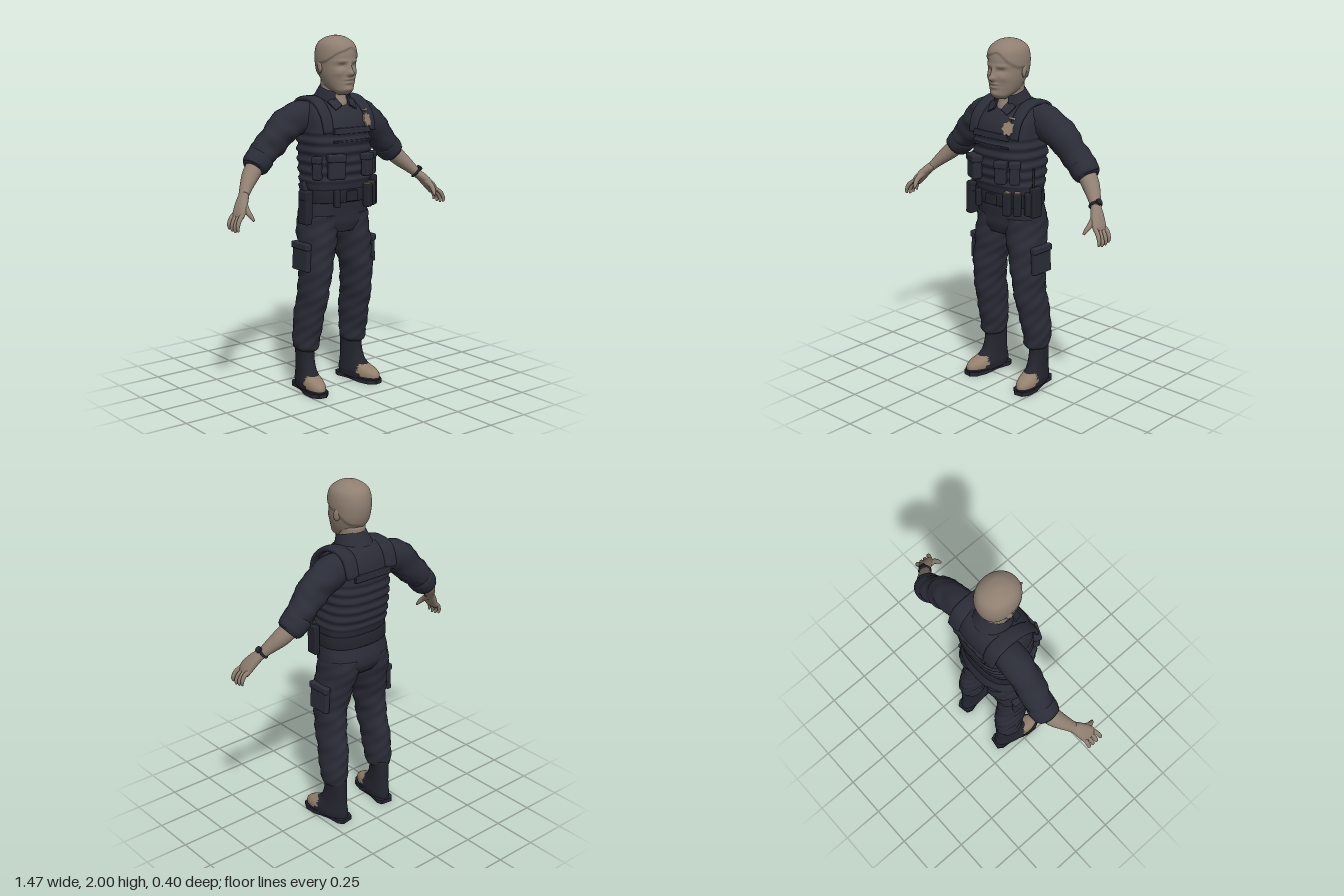
import * as THREE from 'three';
import { RoundedBoxGeometry } from 'three/addons/geometries/RoundedBoxGeometry.js';

const material = (name, color, side = THREE.FrontSide) => {
  const m = new THREE.MeshStandardMaterial({ color, side });
  m.name = name;
  return m;
};

// Catmull-Rom value between b and c
const spline = (a, b, c, d, t) =>
  0.5 * (2 * b + (c - a) * t + (2 * a - 5 * b + 4 * c - d) * t * t + (3 * b - a - 3 * c + d) * t * t * t);

// Skin through sections [x, y, z, halfWidth, halfDepth].
// level keeps rings horizontal, power squares them off, bump(p, angle) pushes outward,
// paint(centre) sends a triangle to the second material.
function loft(sections, { seg = 28, steps = 4, ref = [1, 0, 0], level = false, power = 2, bump, paint } = {}) {
  const rings = [];
  const at = i => sections[Math.min(Math.max(i, 0), sections.length - 1)];
  for (let i = 0; i < sections.length - 1; i++)
    for (let k = 0; k < steps; k++)
      rings.push(at(i).map((v, j) => spline(at(i - 1)[j], v, at(i + 1)[j], at(i + 2)[j], k / steps)));
  rings.push(at(sections.length));
  const centres = rings.map(r => new THREE.Vector3(r[0], r[1], r[2]));
  const pts = [], n = rings.length;
  rings.forEach((r, i) => {
    const T = level ? new THREE.Vector3(0, 1, 0)
      : centres[Math.min(i + 1, n - 1)].clone().sub(centres[Math.max(i - 1, 0)]).normalize();
    const A = new THREE.Vector3(...ref);
    A.addScaledVector(T, -A.dot(T)).normalize();
    const B = A.clone().cross(T);
    for (let j = 0; j < seg; j++) {
      const t = j / seg * Math.PI * 2;
      const c = Math.cos(t), s = Math.sin(t), e = 2 / power;
      const dir = new THREE.Vector3()
        .addScaledVector(A, r[3] * Math.sign(c) * Math.abs(c) ** e)
        .addScaledVector(B, r[4] * Math.sign(s) * Math.abs(s) ** e);
      const p = centres[i].clone().add(dir);
      if (bump) p.addScaledVector(dir.normalize(), bump(p, t));
      pts.push(p);
    }
  });
  pts.push(centres[0], centres[n - 1]);
  const lists = [[], []];
  const tri = (a, b, c) => {
    const mid = pts[a].clone().add(pts[b]).add(pts[c]).divideScalar(3);
    lists[paint && paint(mid) ? 1 : 0].push(a, b, c);
  };
  for (let j = 0; j < seg; j++) {
    const k = (j + 1) % seg, top = (n - 1) * seg;
    for (let i = 0; i < n - 1; i++) {
      const a = i * seg + j, b = i * seg + k;
      tri(a, a + seg, b);
      tri(b, a + seg, b + seg);
    }
    tri(n * seg, j, k);
    tri(n * seg + 1, top + k, top + j);
  }
  const g = new THREE.BufferGeometry().setFromPoints(pts);
  g.setIndex([...lists[0], ...lists[1]]);
  if (paint) {
    g.addGroup(0, lists[0].length, 0);
    g.addGroup(lists[0].length, lists[1].length, 1);
  }
  g.computeVertexNormals();
  return g;
}

// Horizontal section from height, centre x, half width, front z and back z
const slice = (y, x, a, front, back) => [x, y, (front + back) / 2, a, (front - back) / 2];
const gauss = (x, y, [cx, cy, amp, sx, sy]) =>
  amp * Math.exp(-(((x - cx) / sx) ** 2) - ((y - cy) / sy) ** 2);

export function createModel() {
  const model = new THREE.Group();
  model.name = 'uniformedOfficer';
  const skin = material('skin', 0x8f7f71);
  const cloth = material('navyCloth', 0x2a2c37);
  const collarCloth = material('collarCloth', 0x2a2c37, THREE.DoubleSide);
  const gear = material('darkGear', 0x23252e);
  const tan = material('tan', 0x94806c);

  const add = (name, geo, mat, pos = [0, 0, 0], rot = [0, 0, 0], parent = model) => {
    const m = new THREE.Mesh(geo, mat);
    m.name = name;
    m.position.set(...pos);
    m.rotation.set(...rot);
    parent.add(m);
    return m;
  };
  const box = (name, mat, pos, size, rot) =>
    add(name, new RoundedBoxGeometry(...size, 2, Math.min(...size) * 0.25), mat, pos, rot);
  const folds = (amp, f) => (p, t) => amp * Math.sin(p.y * f + 2 * t) * Math.sin(p.y * f * 0.37 + 3 * t + 1);

  // Head with face relief and short hair
  const features = [
    [0, 1.797, 0.034, 0.015, 0.016], [0, 1.825, 0.018, 0.011, 0.028],
    [-0.042, 1.838, -0.013, 0.022, 0.013], [0.042, 1.838, -0.013, 0.022, 0.013],
    [-0.04, 1.863, 0.006, 0.03, 0.009], [0.04, 1.863, 0.006, 0.03, 0.009],
    [0, 1.765, 0.01, 0.026, 0.007], [0, 1.748, 0.01, 0.022, 0.007], [0, 1.756, -0.006, 0.03, 0.004],
    [-0.055, 1.8, 0.005, 0.02, 0.02], [0.055, 1.8, 0.005, 0.02, 0.02], [0, 1.712, 0.007, 0.025, 0.014],
  ];
  const face = (p, t) => {
    const s = Math.sin(t);
    const hairline = 1.85 + (s > 0 ? 0.078 * s * s : 0.09 * s) + 0.006 * Math.sin(p.x * 60);
    let d = 0.008 * THREE.MathUtils.smoothstep(p.y, hairline - 0.004, hairline + 0.01)
      * (1 - THREE.MathUtils.smoothstep(p.y, 1.95, 1.995));
    if (s > 0) for (const f of features) d += gauss(p.x, p.y, f) * Math.min(1, s * 2);
    return d;
  };
  add('head', loft([
    slice(1.68, 0, 0.03, 0.085, 0.03), slice(1.7, 0, 0.055, 0.11, -0.01), slice(1.73, 0, 0.074, 0.115, -0.07),
    slice(1.77, 0, 0.088, 0.117, -0.098), slice(1.81, 0, 0.096, 0.119, -0.115), slice(1.86, 0, 0.1, 0.117, -0.124),
    slice(1.9, 0, 0.1, 0.115, -0.124), slice(1.94, 0, 0.093, 0.103, -0.115), slice(1.97, 0, 0.076, 0.08, -0.095),
    slice(1.99, 0, 0.05, 0.05, -0.062), slice(2, 0, 0.012, 0.01, -0.02),
  ], { seg: 88, steps: 7, level: true, power: 2.1, bump: face }), skin);
  add('neck', loft([
    slice(1.57, 0, 0.07, 0.065, -0.1), slice(1.63, 0, 0.068, 0.062, -0.1),
    slice(1.68, 0, 0.068, 0.045, -0.1), slice(1.76, 0, 0.07, 0.05, -0.1),
  ], { level: true }), skin);

  // Vest with rows of webbing
  const webbing = p => {
    const fade = THREE.MathUtils.smoothstep(p.y, 1.19, 1.22) * (1 - THREE.MathUtils.smoothstep(p.y, 1.46, 1.5));
    return 0.005 * fade * Math.tanh(3 * Math.sin((p.y - 1.2) * 115));
  };
  add('vest', loft([
    slice(1.13, 0, 0.188, 0.12, -0.145), slice(1.2, 0, 0.2, 0.132, -0.162), slice(1.3, 0, 0.2, 0.143, -0.184),
    slice(1.42, 0, 0.198, 0.147, -0.196), slice(1.52, 0, 0.192, 0.137, -0.198), slice(1.585, 0, 0.182, 0.1, -0.188),
    slice(1.635, 0, 0.15, 0.045, -0.165), slice(1.67, 0, 0.1, 0, -0.13),
  ], { seg: 56, steps: 12, level: true, power: 2.7, bump: webbing }), cloth);
  box('chestPanel', cloth, [0, 1.49, 0.137], [0.25, 0.035, 0.018], [-0.08, 0, 0]);
  box('chestFlap', cloth, [0, 1.435, 0.146], [0.26, 0.012, 0.014]);
  box('backPanel', cloth, [0, 1.52, -0.197], [0.25, 0.04, 0.018]);

  // Shirt collar
  const band = new THREE.CylinderGeometry(0.082, 0.112, 0.085, 36, 3, true, 0.55, Math.PI * 2 - 1.1);
  add('collar', band, collarCloth, [0, 1.675, -0.028], [0.28, 0, 0]);

  // Badge on the left chest
  const star = new THREE.Shape(Array.from({ length: 56 }, (_, i) => {
    const t = i / 56 * Math.PI * 2, r = 0.034 + 0.004 * Math.cos(7 * t);
    return new THREE.Vector2(r * Math.sin(t), r * Math.cos(t) * 1.1);
  }));
  add('badge', new THREE.ExtrudeGeometry(star, { depth: 0.009, bevelEnabled: false }), tan, [0.112, 1.54, 0.122], [-0.3, 0.35, 0]);
  box('badgeBar', tan, [0.118, 1.592, 0.098], [0.04, 0.012, 0.01], [-0.5, 0.3, 0]);

  // Trousers seat
  add('trouserSeat', loft([
    slice(0.92, 0, 0.16, 0.085, -0.14), slice(0.97, 0, 0.205, 0.102, -0.172), slice(1.02, 0, 0.21, 0.106, -0.177),
    slice(1.09, 0, 0.2, 0.115, -0.162), slice(1.17, 0, 0.19, 0.12, -0.148),
  ], { seg: 40, level: true, power: 2.4 }), cloth);

  // Belt and buckle
  add('belt', loft([
    slice(1.095, 0, 0.2, 0.128, -0.16), slice(1.1, 0, 0.206, 0.134, -0.167),
    slice(1.16, 0, 0.206, 0.136, -0.165), slice(1.165, 0, 0.2, 0.128, -0.158),
  ], { seg: 44, steps: 2, level: true, power: 2.4 }), gear);
  box('buckle', gear, [0, 1.13, 0.14], [0.07, 0.06, 0.02]);

  for (const s of [1, -1]) {
    const side = s > 0 ? 'left' : 'right';
    // Collar point
    const point = new THREE.Shape([[0.028, 0.035], [0.082, 0.015], [0.06, -0.05], [0.012, -0.03]]
      .map(([x, y]) => new THREE.Vector2(s * x, y)));
    add(side + 'CollarPoint', new THREE.ExtrudeGeometry(point, { depth: 0.009, bevelEnabled: false }),
      collarCloth, [s * 0.012, 1.645, 0.062], [-0.75, s * 0.3, 0]);

    // Vest shoulder strap
    add(side + 'ShoulderStrap', loft([
      [s * 0.145, 1.48, 0.12, 0.032, 0.012], [s * 0.145, 1.57, 0.095, 0.034, 0.014],
      [s * 0.14, 1.64, 0.02, 0.038, 0.016], [s * 0.135, 1.658, -0.07, 0.042, 0.016],
      [s * 0.135, 1.63, -0.155, 0.042, 0.016], [s * 0.135, 1.53, -0.192, 0.04, 0.012],
    ], { seg: 16, power: 3 }), cloth);

    // Sleeve and rolled cuff
    add(side + 'Sleeve', loft([
      [s * 0.1, 1.56, -0.085, 0.078, 0.09], [s * 0.2, 1.55, -0.088, 0.084, 0.095], [s * 0.29, 1.507, -0.09, 0.085, 0.092],
      [s * 0.37, 1.43, -0.093, 0.08, 0.083], [s * 0.44, 1.36, -0.1, 0.076, 0.073], [s * 0.49, 1.305, -0.095, 0.068, 0.066],
    ], { ref: [0, 0, 1], steps: 7, bump: folds(0.006, 75) }), cloth);
    add(side + 'Cuff', loft([
      [s * 0.43, 1.365, -0.1, 0.073, 0.07], [s * 0.442, 1.352, -0.1, 0.081, 0.077],
      [s * 0.48, 1.314, -0.095, 0.077, 0.073], [s * 0.497, 1.297, -0.092, 0.06, 0.056],
    ], { ref: [0, 0, 1] }), cloth);

    // Forearm, palm, fingers and thumb
    add(side + 'Forearm', loft([
      [s * 0.46, 1.33, -0.1, 0.052, 0.05], [s * 0.52, 1.272, -0.075, 0.05, 0.047],
      [s * 0.57, 1.222, -0.042, 0.039, 0.036], [s * 0.61, 1.178, -0.012, 0.03, 0.026], [s * 0.635, 1.15, 0.008, 0.032, 0.024],
    ], { ref: [0, 0, 1] }), skin);
    add(side + 'Palm', loft([
      [s * 0.61, 1.178, -0.01, 0.028, 0.024], [s * 0.64, 1.145, 0.014, 0.039, 0.024],
      [s * 0.672, 1.1, 0.04, 0.047, 0.021], [s * 0.69, 1.07, 0.05, 0.044, 0.014],
    ], { ref: [0, 0, 1], power: 2.4 }), skin);
    for (let f = 0; f < 4; f++) {
      const o = (f - 1.5) * 0.023, d = Math.abs(f - 1.7) * 0.008;
      add(side + 'Finger' + (f + 1), loft([
        [s * 0.678, 1.09, 0.043 + o, 0.012, 0.012], [s * 0.708, 1.055 + d, 0.053 + 1.15 * o, 0.012, 0.012],
        [s * 0.723, 1.022 + d, 0.058 + 1.2 * o, 0.011, 0.01], [s * 0.72, 1.0 + d, 0.06 + 1.2 * o, 0.006, 0.006],
      ], { ref: [0, 0, 1], seg: 12 }), skin);
    }
    add(side + 'Thumb', loft([
      [s * 0.635, 1.145, 0.025, 0.018, 0.018], [s * 0.648, 1.11, 0.075, 0.016, 0.016],
      [s * 0.642, 1.083, 0.103, 0.013, 0.012], [s * 0.634, 1.06, 0.12, 0.006, 0.006],
    ], { ref: [0, 0, 1], seg: 12 }), skin);

    // Ear
    add(side + 'Ear', new THREE.SphereGeometry(1, 16, 12), skin, [s * 0.1, 1.83, -0.02], [-0.15, s * 0.35, 0])
      .scale.set(0.011, 0.036, 0.021);

    // Trouser leg with bloused hem
    add(side + 'TrouserLeg', loft([
      slice(0.232, s * 0.167, 0.05, 0.0, -0.145), slice(0.25, s * 0.168, 0.066, 0.018, -0.147),
      slice(0.3, s * 0.168, 0.072, 0.028, -0.152), slice(0.4, s * 0.163, 0.072, 0.052, -0.158),
      slice(0.5, s * 0.157, 0.072, 0.08, -0.145), slice(0.6, s * 0.151, 0.076, 0.099, -0.126),
      slice(0.7, s * 0.144, 0.086, 0.105, -0.12), slice(0.8, s * 0.131, 0.097, 0.105, -0.135),
      slice(0.92, s * 0.113, 0.106, 0.104, -0.165), slice(1.02, s * 0.103, 0.103, 0.1, -0.172),
    ], { steps: 7, level: true, bump: folds(0.005, 62) }), cloth);
    box(side + 'CargoPocket', cloth, [s * 0.228, 0.785, -0.02], [0.03, 0.15, 0.14], [0, 0, s * 0.06]);
    box(side + 'CargoFlap', cloth, [s * 0.23, 0.85, -0.02], [0.04, 0.04, 0.148], [0, 0, s * 0.06]);

    // Boot with tan toe, turned slightly outward
    const boot = new THREE.Group();
    boot.name = side + 'Boot';
    boot.position.set(s * 0.166, 0, -0.09);
    boot.rotation.y = s * 0.16;
    model.add(boot);
    add(side + 'BootUpper', loft([
      slice(0.015, 0, 0.056, 0.225, -0.07), slice(0.05, 0, 0.059, 0.225, -0.073), slice(0.075, 0, 0.055, 0.2, -0.07),
      slice(0.1, 0, 0.05, 0.14, -0.066), slice(0.135, 0, 0.047, 0.105, -0.062), slice(0.2, 0, 0.046, 0.085, -0.062),
      slice(0.27, 0, 0.05, 0.085, -0.06),
    ], { seg: 36, steps: 5, level: true, power: 2.2, paint: c => c.y > 0.036 && c.y < 0.1 && c.z > 0.11 + (c.y < 0.05 ? 0.03 : 0) }),
    [gear, tan], undefined, undefined, boot);
    const sole = new THREE.Shape([[0.035, 0.08], [0.052, 0.05], [0.046, -0.03], [0.062, -0.13], [0.054, -0.195], [0.025, -0.232],
      [-0.025, -0.232], [-0.054, -0.195], [-0.062, -0.13], [-0.046, -0.03], [-0.052, 0.05], [-0.035, 0.08]].map(p => new THREE.Vector2(...p)));
    add(side + 'Sole', new THREE.ExtrudeGeometry(sole, { depth: 0.024, bevelEnabled: false }), gear,
      [0, 0, 0], [-Math.PI / 2, 0, 0], boot);
  }

  // Vest pouches [x, y, z, width, height, depth, turn]
  [[-0.115, 1.3, 0.148, 0.095, 0.14, 0.055, -0.42], [0.09, 1.3, 0.158, 0.062, 0.13, 0.045, 0.36],
    [0.155, 1.3, 0.118, 0.058, 0.13, 0.045, 0.7], [-0.185, 1.29, 0.07, 0.05, 0.13, 0.04, -1.1]]
    .forEach(([x, y, z, w, h, d, turn], i) => {
      box('vestPouch' + (i + 1), cloth, [x, y, z], [w, h, d], [0, turn, 0]);
      box('vestPouchFlap' + (i + 1), cloth, [x, y + h * 0.34, z], [w + 0.008, h * 0.3, d + 0.01], [0, turn, 0]);
    });

  // Belt pouches, two with tan tops
  [[0.115, 0.135, 0.3], [0.165, 0.108, 0.65], [-0.1, 0.135, -0.35], [0.205, 0.06, 1.1]].forEach(([x, z, turn], i) => {
    box('beltPouch' + (i + 1), gear, [x, 1.12, z], [0.045, 0.13, 0.045].map(v => (i === 2 ? v * 0.75 : v)), [0, turn, 0]);
    if (i < 2) box('pouchTop' + (i + 1), tan, [x, 1.184, z], [0.032, 0.014, 0.03], [0, turn, 0]);
  });

  // Radio on the left hip and its antenna
  box('radio', gear, [0.228, 1.13, 0.03], [0.036, 0.17, 0.07]);
  add('antenna', new THREE.CylinderGeometry(0.006, 0.008, 0.12, 10), gear, [0.222, 1.26, 0.04]);

  // Holster on the right hip with a grip above
  box('holster', gear, [-0.238, 1.065, 0.03], [0.046, 0.17, 0.085], [0, 0, -0.04]);
  box('holsterHood', gear, [-0.235, 1.14, 0.03], [0.055, 0.06, 0.08]);
  box('grip', gear, [-0.235, 1.18, 0.01], [0.03, 0.07, 0.045], [-0.5, 0, 0]);

  // Watch on the left wrist
  const axis = new THREE.Vector3(0.62, -0.66, 0.43).normalize();
  const strap = add('watchStrap', new THREE.TorusGeometry(0.031, 0.007, 8, 28), gear, [0.606, 1.183, -0.014]);
  strap.quaternion.setFromUnitVectors(new THREE.Vector3(0, 0, 1), axis);
  const dial = add('watchCase', new THREE.CylinderGeometry(0.018, 0.018, 0.012, 20), gear, [0.63, 1.207, -0.012]);
  dial.rotation.z = -0.8;

  return model;
}
